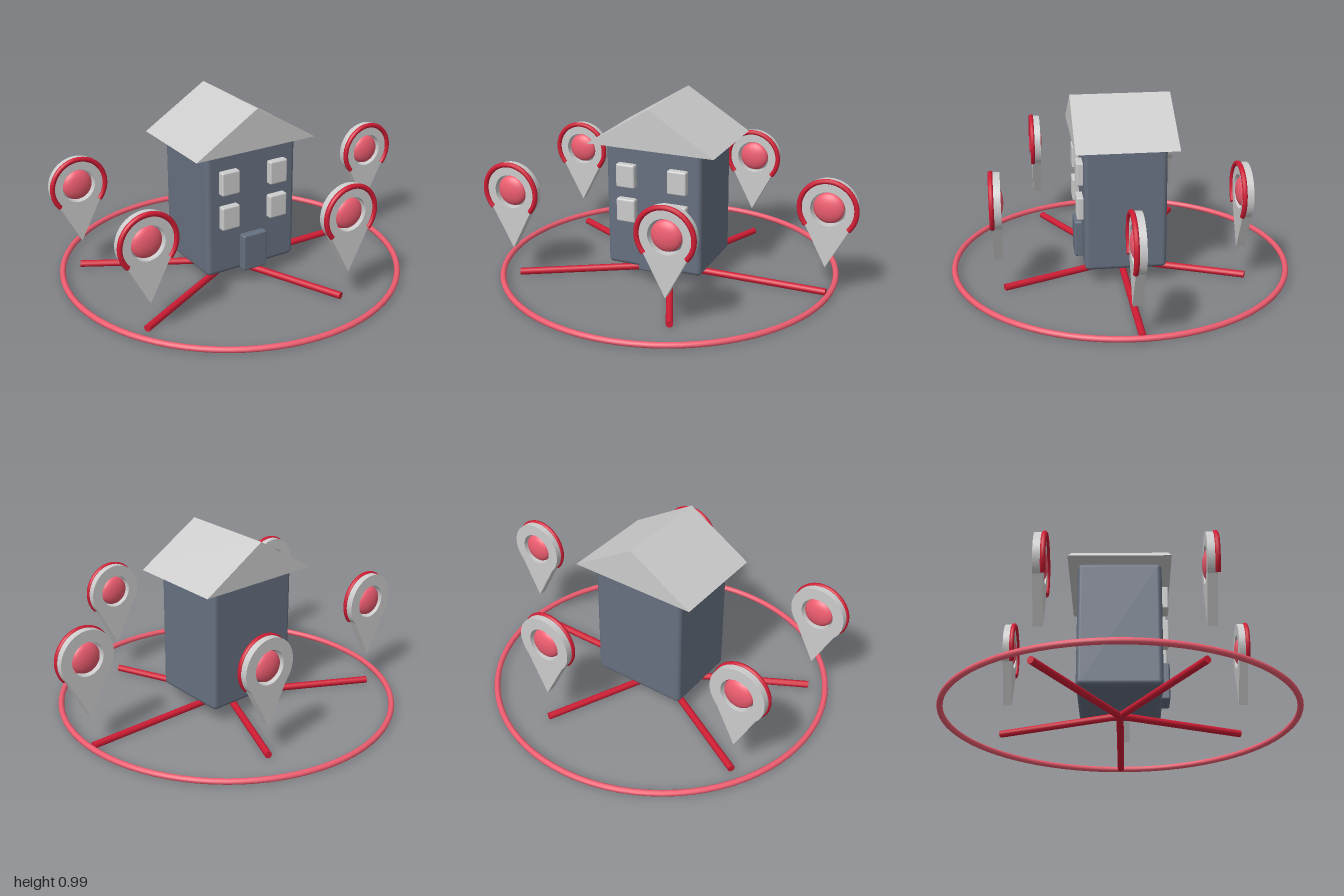
import * as THREE from 'three';
import { RoundedBoxGeometry } from 'three/addons/geometries/RoundedBoxGeometry.js';

const mat = (color) => new THREE.MeshStandardMaterial({ color });
const grey = mat(0xcccccc);
const slate = mat(0x667080);
const red = mat(0xd01c34);
const pink = mat(0xee5d70);

function add(parent, name, geometry, material, x = 0, y = 0, z = 0) {
  const mesh = new THREE.Mesh(geometry, material);
  mesh.name = name;
  mesh.position.set(x, y, z);
  parent.add(mesh);
  return mesh;
}

// House: rounded body, gable roof, door and four windows
function makeHouse() {
  const house = new THREE.Group();
  house.name = 'house';
  add(house, 'walls', new RoundedBoxGeometry(0.54, 0.69, 0.44, 3, 0.025), slate, 0, 0.43, 0);

  const gable = new THREE.Shape();
  gable.moveTo(-0.357, 0);
  gable.lineTo(0.357, 0);
  gable.lineTo(0, 0.22);
  gable.closePath();
  const roof = new THREE.ExtrudeGeometry(gable, { depth: 0.54, bevelEnabled: false });
  add(house, 'roof', roof, grey, 0, 0.77, -0.27);

  add(house, 'door', new RoundedBoxGeometry(0.145, 0.205, 0.05, 2, 0.01), slate, 0, 0.188, 0.235);
  const pane = new RoundedBoxGeometry(0.107, 0.13, 0.045, 2, 0.01);
  for (const x of [-0.146, 0.146]) {
    for (const y of [0.415, 0.608]) add(house, 'window', pane, grey, x, y, 0.233);
  }
  return house;
}

// Map pin: pointed plate with a round hole, a flattened ball in it and a rim arc
function makePin() {
  const pin = new THREE.Group();
  pin.name = 'pin';
  const r = 0.155;
  const end = -Math.PI * 0.24;
  const outline = new THREE.Shape();
  outline.moveTo(0, -0.322);
  outline.lineTo(r * Math.cos(end), r * Math.sin(end));
  outline.absarc(0, 0, r, end, Math.PI - end, false);
  outline.closePath();
  const hole = new THREE.Path();
  hole.absarc(0, 0, 0.092, 0, Math.PI * 2, true);
  outline.holes.push(hole);
  const plate = new THREE.ExtrudeGeometry(outline, { depth: 0.048, bevelEnabled: false, curveSegments: 32 });
  add(pin, 'pinPlate', plate, grey, 0, 0, -0.024);

  const ball = add(pin, 'pinBall', new THREE.SphereGeometry(0.082, 32, 20), pink);
  ball.scale.z = 0.45;

  const start = -Math.PI * 0.23;
  const rim = add(pin, 'pinRim', new THREE.TorusGeometry(0.15, 0.0135, 10, 48, Math.PI - 2 * start), red, 0, 0, 0.024);
  rim.rotation.z = start;
  // Caps on the two rim ends
  for (const a of [start, Math.PI - start]) {
    const cap = add(pin, 'rimEnd', new THREE.CircleGeometry(0.0135, 10), red, 0.15 * Math.cos(a), 0.15 * Math.sin(a), 0.024);
    const s = a === start ? 1 : -1;
    cap.lookAt(cap.position.x + s * Math.sin(a), cap.position.y - s * Math.cos(a), 0.024);
  }
  return pin;
}

export function createModel() {
  const model = new THREE.Group();
  model.name = 'houseWithPins';
  const hub = new THREE.Group();
  hub.name = 'hub';
  hub.position.x = -0.062;
  model.add(hub);
  hub.add(makeHouse());

  // Ground ring
  const ring = add(hub, 'groundRing', new THREE.TorusGeometry(0.922, 0.016, 10, 80), pink, 0, 0.023, 0);
  ring.rotation.x = Math.PI / 2;

  // Five spokes, each ending under a front-facing pin
  for (let i = 0; i < 5; i++) {
    const a = (i / 5) * Math.PI * 2;
    const x = 0.897 * Math.cos(a);
    const z = 0.682 * Math.sin(a);
    const spoke = add(hub, 'spoke', new THREE.CylinderGeometry(0.019, 0.019, Math.hypot(x, z), 10), red, x / 2, 0.02, z / 2);
    spoke.quaternion.setFromUnitVectors(new THREE.Vector3(0, 1, 0), new THREE.Vector3(x, 0, z).normalize());

    const pin = makePin();
    pin.position.set(x, 0.508, z + 0.028);
    hub.add(pin);
  }
  return model;
}
